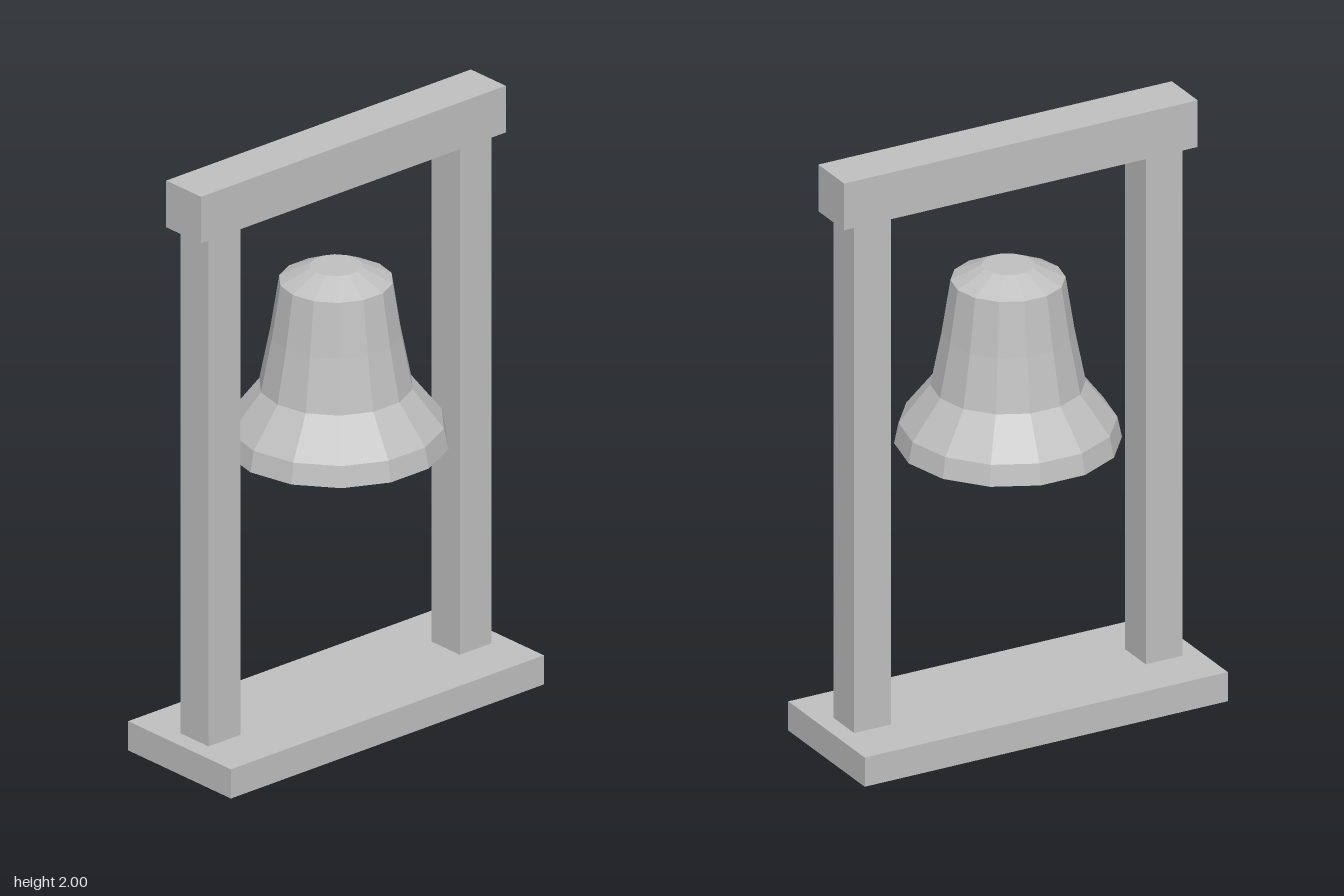
import * as THREE from 'three';

export function createModel() {
  const model = new THREE.Group();
  model.name = 'bellStand';
  const grey = new THREE.MeshStandardMaterial({ color: 0xc0c0c0, flatShading: true });
  grey.name = 'plain grey';

  const add = (name, geometry, x, y, z = 0) => {
    const mesh = new THREE.Mesh(geometry, grey);
    mesh.name = name;
    mesh.position.set(x, y, z);
    model.add(mesh);
    return mesh;
  };

  // Frame: base plank, two posts, top beam
  add('base', new THREE.BoxGeometry(1.3, 0.1, 0.484), 0, 0.05);
  for (const [name, side] of [['leftPost', 1], ['rightPost', -1]]) {
    add(name, new THREE.BoxGeometry(0.132, 1.74, 0.132), side * 0.522, 0.97);
  }
  add('topBeam', new THREE.BoxGeometry(1.266, 0.16, 0.164), 0, 1.92);

  // Fourteen-sided bell with a closed mouth, corners on the x axis
  const sides = 14;
  const profile = [
    [0, 0.946], [0.356, 0.946], [0.342, 1.015], [0.243, 1.143],
    [0.208, 1.32], [0.18, 1.5], [0.083, 1.548], [0, 1.548],
  ].map(([r, y]) => new THREE.Vector2(r, y));
  add('bell', new THREE.LatheGeometry(profile, sides, Math.PI / sides), 0, 0);

  // Clapper ball
  add('clapper', new THREE.SphereGeometry(0.055, 10, 8), 0, 0.916);

  return model;
}
